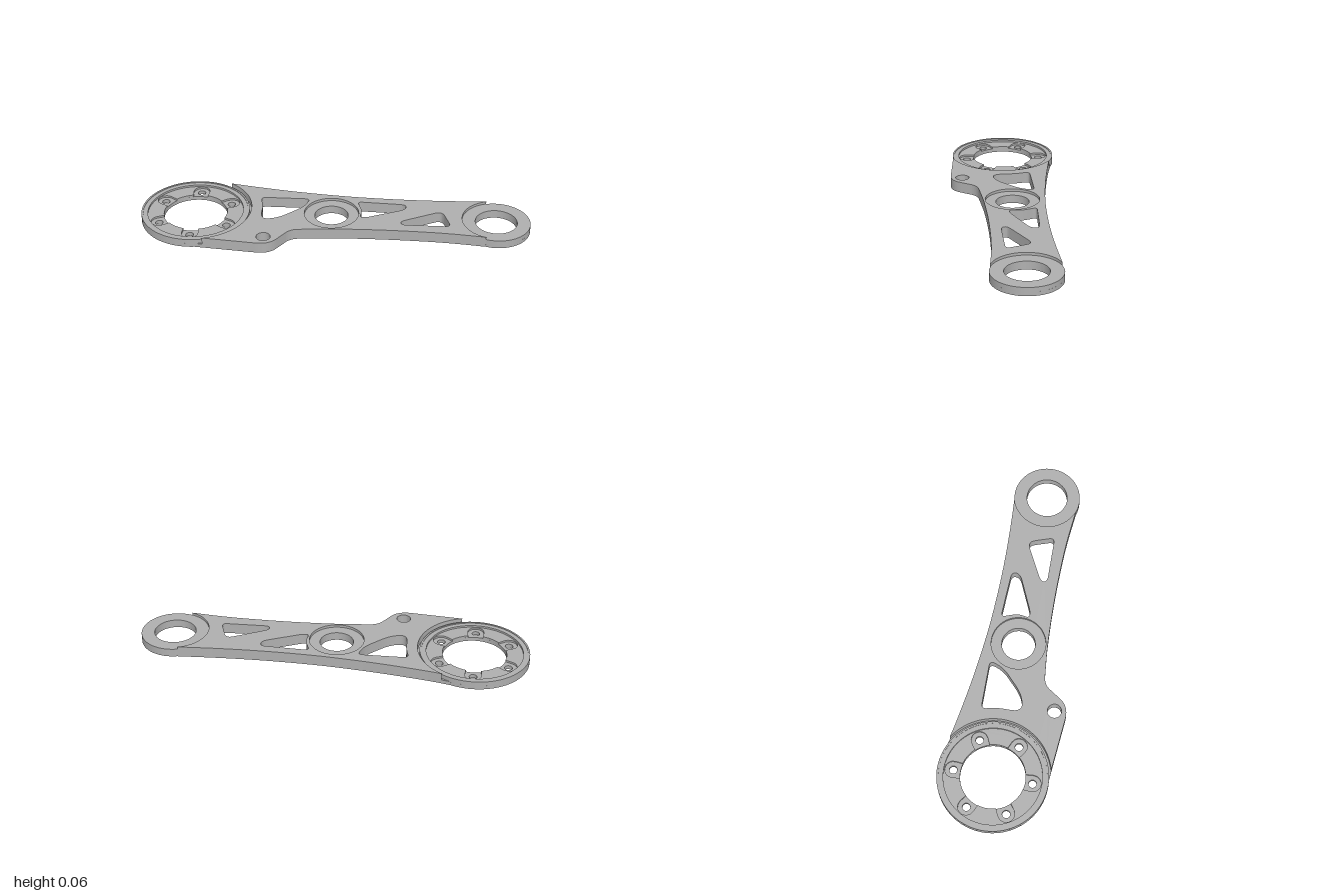
import * as THREE from 'three';
import { toCreasedNormals } from 'three/addons/utils/BufferGeometryUtils.js';

const metal = new THREE.MeshStandardMaterial({ color: 0xb0b0b0 });
metal.name = 'grey metal';

const V = (x, z) => new THREE.Vector2(x, z);
const BIG = V(-0.72, -0.015), MID = V(-0.016, -0.015), END = V(0.826, -0.015);
const BASE = 0.02, SEAT = 0.03, RIM = 0.043, TOP = 0.057;

// Points of a full circle, or of an arc from angle a to angle b
function arc(c, r, a = 0, b = Math.PI * 2, n = 64) {
  const pts = [];
  for (let i = 0; i < n; i++) {
    const t = a + (b - a) * i / (n - 1);
    pts.push(V(c.x + r * Math.cos(t), c.y + r * Math.sin(t)));
  }
  return pts;
}
const circle = (c, r, n = 64) => arc(c, r, 0, Math.PI * 2 * (n - 1) / n, n);

// Polygon with rounded corners; each corner is [x, z, rounding length]
function rounded(corners) {
  const pts = [], n = corners.length;
  corners.forEach(([x, z, r], i) => {
    const p = V(x, z);
    const step = (q) => {
      const d = V(q[0], q[1]).sub(p);
      return p.clone().add(d.setLength(Math.min(r, d.length() * 0.49)));
    };
    const a = step(corners[(i + n - 1) % n]), b = step(corners[(i + 1) % n]);
    pts.push(...new THREE.QuadraticBezierCurve(a, p, b).getPoints(8));
  });
  return pts;
}

// Flat layer in the x/z plane between two heights
function layer(name, outline, holes, y0, y1) {
  const shape = new THREE.Shape(outline);
  holes.forEach((h) => shape.holes.push(new THREE.Path(h)));
  const g = new THREE.ExtrudeGeometry(shape, { depth: y1 - y0, bevelEnabled: false });
  g.rotateX(Math.PI / 2).translate(0, y1, 0);
  const mesh = new THREE.Mesh(toCreasedNormals(g, 0.5), metal);
  mesh.name = name;
  return mesh;
}

// Long edges of the arm, from the big end to the small end
const backEdge = new THREE.SplineCurve([
  V(-0.63, -0.277), V(-0.5, -0.249), V(-0.25, -0.21), V(0, -0.183), V(0.2, -0.172),
  V(0.4, -0.169), V(0.6, -0.174), V(0.82, -0.186),
]).getPoints(160);
const lowerEdge = [
  V(-0.69, 0.261),
  ...new THREE.QuadraticBezierCurve(V(-0.38, 0.288), V(-0.31, 0.297), V(-0.275, 0.25)).getPoints(12),
  ...new THREE.QuadraticBezierCurve(V(-0.235, 0.19), V(-0.213, 0.154), V(-0.17, 0.15)).getPoints(12),
  ...new THREE.SplineCurve([
    V(-0.16, 0.149), V(0, 0.134), V(0.2, 0.126), V(0.4, 0.126), V(0.6, 0.134), V(0.83, 0.157),
  ]).getPoints(80),
];
const frontEdge = [];
for (let i = 0; i < lowerEdge.length - 1; i++) {
  for (let k = 0; k < 6; k++) frontEdge.push(lowerEdge[i].clone().lerp(lowerEdge[i + 1], k / 6));
}
// Split the long first run finely so that it meets the step cleanly
for (let k = 59; k > 0; k--) frontEdge.splice(1, 0, lowerEdge[0].clone().lerp(frontEdge[1], 0.9 * k / 60));
frontEdge.sort((a, b) => a.x - b.x);

// Arm outline: the ends bulge outwards (full plate) or are cut inwards (web)
function armOutline(rBig, rEnd, bulge) {
  const keep = (p) => p.distanceTo(BIG) > rBig && p.distanceTo(END) > rEnd;
  const back = backEdge.filter(keep), front = frontEdge.filter(keep);
  const angle = (p, c) => Math.atan2(p.y - c.y, p.x - c.x);
  const full = Math.PI * 2;
  const e0 = angle(back[back.length - 1], END), e1 = angle(front[front.length - 1], END);
  const b0 = angle(front[0], BIG), b1 = angle(back[0], BIG);
  const endArc = bulge ? arc(END, rEnd, e0, e1) : arc(END, rEnd, e0 > 0 ? e0 : e0 + full, e1);
  const bigArc = bulge ? arc(BIG, rBig, b0, b1 + full, 96) : arc(BIG, rBig, b0, b1, 64);
  return [...back, ...endArc, ...front.reverse(), ...bigArc];
}

export function createModel() {
  const group = new THREE.Group();
  group.name = 'linkArm';

  const pockets = [
    rounded([[-0.395, -0.137, 0.03], [-0.135, -0.14, 0.03], [-0.162, -0.065, 0.04],
      [-0.285, 0.052, 0.06], [-0.375, 0.07, 0.07], [-0.374, -0.06, 0.05]]),
    rounded([[0.11, -0.13, 0.025], [0.365, -0.12, 0.035], [0.362, -0.075, 0.035],
      [0.16, 0.015, 0.025], [0.13, 0.012, 0.02], [0.142, -0.045, 0.04]]),
    rounded([[0.55, -0.07, 0.04], [0.597, 0.066, 0.03], [0.345, 0.07, 0.03], [0.34, 0.038, 0.03]]),
  ];
  const lugHole = circle(V(-0.34, 0.228), 0.036, 32);
  const bolts = [];
  for (let i = 0; i < 6; i++) {
    const a = Math.PI / 2 + i * Math.PI / 3;
    bolts.push(circle(V(BIG.x + 0.2 * Math.cos(a), BIG.y + 0.2 * Math.sin(a)), 0.02, 20));
  }

  // Full-length lower plate
  group.add(layer('basePlate', armOutline(0.279, 0.174, true), [
    circle(BIG, 0.163), circle(MID, 0.086), circle(END, 0.107), lugHole, ...pockets, ...bolts,
  ], 0, BASE));

  // Raised web between the two round ends
  group.add(layer('web', armOutline(0.29, 0.174, false),
    [circle(MID, 0.14), lugHole, ...pockets], BASE, TOP));

  // Recessed ring around the middle bore, and the thinner small end
  group.add(layer('middleBoreSeat', circle(MID, 0.14), [circle(MID, 0.086)], BASE, RIM));
  group.add(layer('smallEnd', circle(END, 0.174), [circle(END, 0.107)], BASE, RIM));

  // Big end floor, scalloped where the bolt recesses open into the bore
  const scallops = [];
  for (let i = 0; i < 240; i++) {
    const t = i * Math.PI / 120, s = Math.PI / 3;
    const phi = t - Math.PI / 2 - s * Math.round((t - Math.PI / 2) / s);
    const d = 0.042 ** 2 - (0.2 * Math.sin(phi)) ** 2;
    const r = d > 0 ? Math.max(0.163, 0.2 * Math.cos(phi) + Math.sqrt(d)) : 0.163;
    scallops.push(V(BIG.x + r * Math.cos(t), BIG.y + r * Math.sin(t)));
  }
  group.add(layer('bigEndFloor', circle(BIG, 0.248, 96), [scallops], BASE, SEAT));

  // Stepped rim of the big end
  group.add(layer('bigEndLedge', circle(BIG, 0.271, 96), [circle(BIG, 0.246, 96)], BASE, 0.04));
  group.add(layer('bigEndRim', circle(BIG, 0.279, 96), [circle(BIG, 0.27, 96)], BASE, RIM));

  return group;
}
